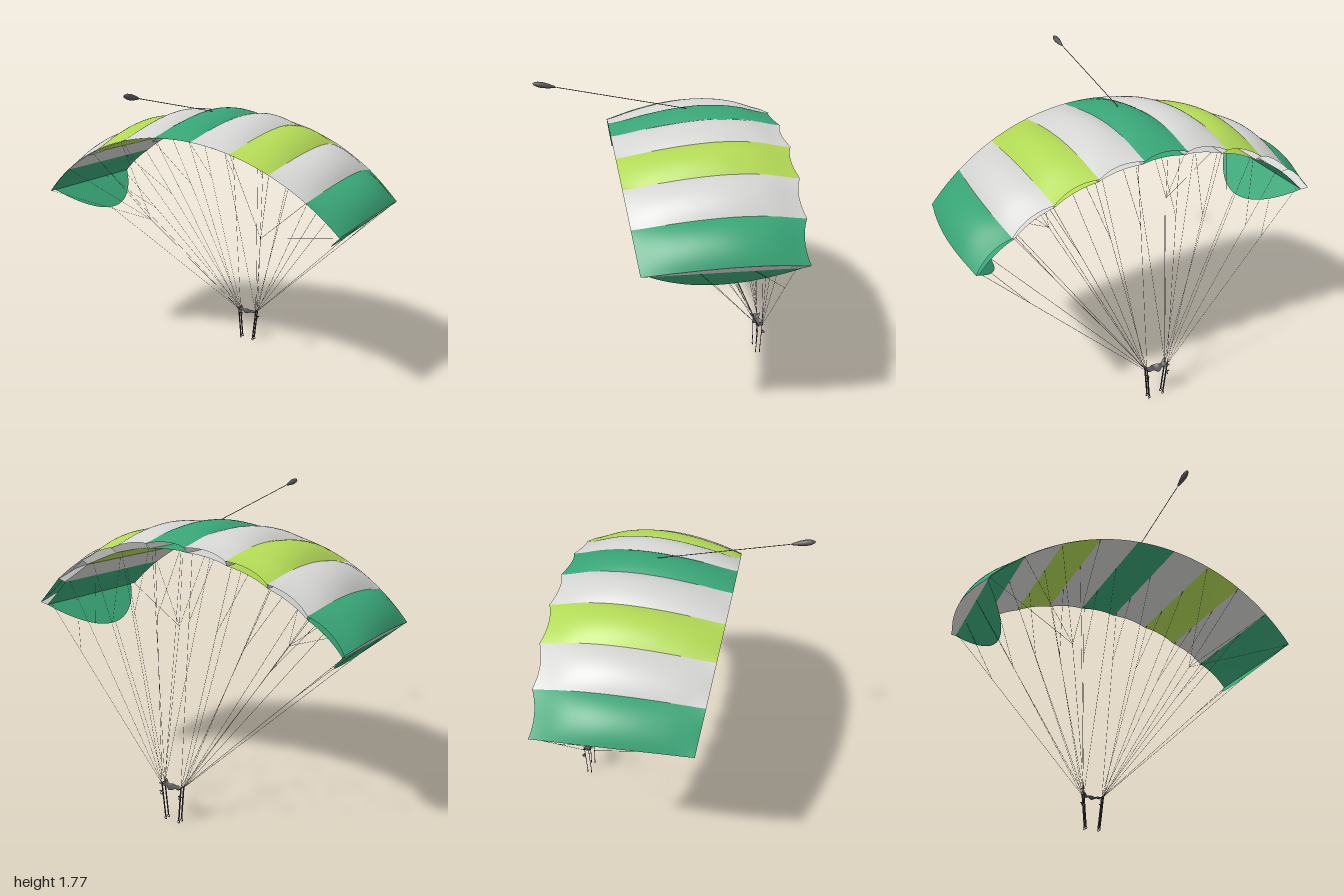
import * as THREE from 'three';

const mat = (name, color, side = THREE.DoubleSide) => {
  const m = new THREE.MeshStandardMaterial({ color, side });
  m.name = name;
  return m;
};

const CELLS = 9, RADIUS = 1.295, CENTRE_Y = 0.2, HALF = 0.824; // canopy arc about the harness
const TIP_DROP = 1 - Math.cos(HALF);

// chordwise thickness at a rib, nose to tail in even steps
const thickness = new THREE.SplineCurve(
  [0.03, 0.068, 0.08, 0.067, 0.038, 0.002].map((t, i) => new THREE.Vector2(i / 5, t)));

// point on the canopy: a = arc angle, s = 0 nose .. 1 tail, r = height above the lower skin
function canopyPoint(a, s, r, noseShift = 0) {
  const k = (1 - Math.cos(a)) / TIP_DROP;
  const tail = 0.27 - 0.07 * k, nose = -0.655 + 0.053 * k + noseShift;
  const R = RADIUS + r;
  return new THREE.Vector3(Math.sin(a) * R, CENTRE_Y + Math.cos(a) * R, nose + (tail - nose) * s);
}

// smooth sheet from a rule fn(u, v) -> Vector3
function sheet(nu, nv, fn) {
  const pos = [], idx = [];
  for (let i = 0; i <= nu; i++) {
    for (let j = 0; j <= nv; j++) {
      pos.push(...fn(i / nu, j / nv).toArray());
      if (i < nu && j < nv) {
        const a = i * (nv + 1) + j, b = a + nv + 1;
        idx.push(a, a + 1, b, b, a + 1, b + 1);
      }
    }
  }
  const g = new THREE.BufferGeometry();
  g.setAttribute('position', new THREE.Float32BufferAttribute(pos, 3));
  g.setIndex(idx);
  g.computeVertexNormals();
  return g;
}

export function createModel() {
  const root = new THREE.Group();
  const green = mat('green fabric', 0x38a476);
  const lime = mat('lime fabric', 0xb2d955);
  const white = mat('pale grey fabric', 0xd4d4d2);
  const dark = mat('dark webbing', 0x3c3c3e);
  const chute = mat('pilot chute grey', 0x555557);
  const cord = mat('line grey', 0x8c8582, THREE.FrontSide);
  const pattern = [green, white, lime, white, green, white, lime, white, green];

  const add = (parent, name, geo, material) => {
    const m = new THREE.Mesh(geo, material);
    m.name = name;
    parent.add(m);
    return m;
  };
  const group = (name) => {
    const g = new THREE.Group();
    g.name = name;
    root.add(g);
    return g;
  };
  const rod = (parent, name, a, b, radius, material, sides = 5) => {
    const d = b.clone().sub(a);
    const m = add(parent, name, new THREE.CylinderGeometry(radius, radius, d.length(), sides), material);
    m.position.copy(a).addScaledVector(d, 0.5);
    m.quaternion.setFromUnitVectors(new THREE.Vector3(0, 1, 0), d.normalize());
    return m;
  };
  const V = (x, y, z) => new THREE.Vector3(x, y, z);
  const ribAngle = (i) => -HALF + (2 * HALF * i) / CELLS;

  // inflated cells: bulging upper and lower skins, open at the scalloped nose
  const canopy = group('canopy');
  for (let c = 0; c < CELLS; c++) {
    const a0 = ribAngle(c), da = ribAngle(c + 1) - a0;
    add(canopy, 'upperSkin', sheet(12, 24, (u, s) => {
      const arch = 4 * u * (1 - u);
      const puff = 0.03 * arch * Math.pow(Math.sin(Math.PI * (0.03 + 0.97 * s)), 0.6 );
      return canopyPoint(a0 + da * u, s, thickness.getPoint(s).y + (s < 1 ? puff : 0), 0.025 * arch);
    }), pattern[c]);
    add(canopy, 'lowerSkin', sheet(12, 24, (u, s) => {
      const arch = 4 * u * (1 - u);
      return canopyPoint(a0 + da * (1 - u), s, -0.006 * arch * Math.sin(Math.PI * s), 0.03 + 0.015 * arch);
    }), pattern[c]);
  }

  // ribs between the cells and at the tips
  for (let i = 0; i <= CELLS; i++) {
    add(canopy, 'rib', sheet(24, 1, (s, v) =>
      canopyPoint(ribAngle(i), s, thickness.getPoint(s).y * v, 0.03 * (1 - v))), white);
  }

  // curved stabilizer panels hanging inward from the tips
  for (const side of [-1, 1]) {
    add(canopy, 'stabilizer', sheet(28, 2, (u, v) => {
      const depth = 0.235 * Math.pow(4 * u * (1 - u), 0.95);
      return canopyPoint(side * HALF, 0.04 + 0.91 * u, -depth * v);
    }), green);
  }

  // suspension lines and brake cascades
  const lines = group('suspensionLines');
  const link = (a, b) => rod(lines, 'line', a, b, 0.001, cord, 4);
  for (const side of [-1, 1]) {
    const frontLink = V(side * 0.065, 0.21, -0.645);
    const rearLink = V(side * 0.065, 0.21, -0.62);
    const brakeNode = V(side * 0.38, 0.92, -0.06);
    link(rearLink, brakeNode);
    for (let i = 5; i <= CELLS; i++) {
      const a = side * ribAngle(i);
      const A = canopyPoint(a, 0.08, 0), B = canopyPoint(a, 0.33, 0), C = canopyPoint(a, 0.65, 0);
      const fork = frontLink.clone().lerp(A, 0.72);
      link(frontLink, fork);
      link(fork, A);
      link(fork, B);
      link(rearLink, C);
      if (i > 5) link(brakeNode, canopyPoint(a, 0.99, 0));
    }
  }

  // collapsed slider sagging between the risers
  const harness = group('harness');
  add(harness, 'slider', sheet(16, 6, (u, v) => {
    const x = (u - 0.5) * 0.14, w = 0.026 + 0.008 * Math.cos(4 * Math.PI * u);
    return V(x, 0.192 + 0.018 * Math.pow(Math.abs(2 * u - 1), 2) + 0.004 * Math.cos(u * 19) +
      0.008 * Math.pow(2 * v - 1, 2), -0.632 + (2 * v - 1) * w);
  }), chute);

  // risers, end rings and brake toggles
  for (const side of [-1, 1]) {
    for (const z of [-0.645, -0.62]) {
      const top = V(side * 0.065, 0.215, z), bottom = V(side * 0.045, 0.016, z);
      rod(harness, 'riser', bottom, top, 0.005, dark, 4).scale.z = 0.4;
      const ring = add(harness, 'riserRing', new THREE.TorusGeometry(0.007, 0.002, 6, 14), chute);
      ring.position.set(side * 0.045, 0.009, z);
    }
    rod(harness, 'brakeToggle', V(side * 0.052, 0.168, -0.652), V(side * 0.076, 0.168, -0.652), 0.003, dark);
    const loop = add(harness, 'toggleLoop', new THREE.TorusGeometry(0.009, 0.0018, 6, 14), dark);
    loop.position.set(side * 0.062, 0.16, -0.654);
    loop.rotation.y = Math.PI / 2;
  }

  // trailing pilot chute on its bridle
  const pilot = group('pilotChute');
  const anchor = V(0, 1.595, -0.17), neck = V(0, 1.736, 0.54), end = V(0, 1.761, 0.668);
  rod(pilot, 'bridle', anchor, neck, 0.002, chute);
  const axis = end.clone().sub(neck);
  const profile = [[0, 0], [0.006, 0.12], [0.012, 0.35], [0.016, 0.6], [0.014, 0.8], [0.008, 0.94], [0, 1]]
    .map(([r, t]) => new THREE.Vector2(r, t * axis.length()));
  const body = add(pilot, 'pilotChuteBody', new THREE.LatheGeometry(profile, 16), chute);
  body.position.copy(neck);
  body.quaternion.setFromUnitVectors(V(0, 1, 0), axis.normalize());

  return root;
}
